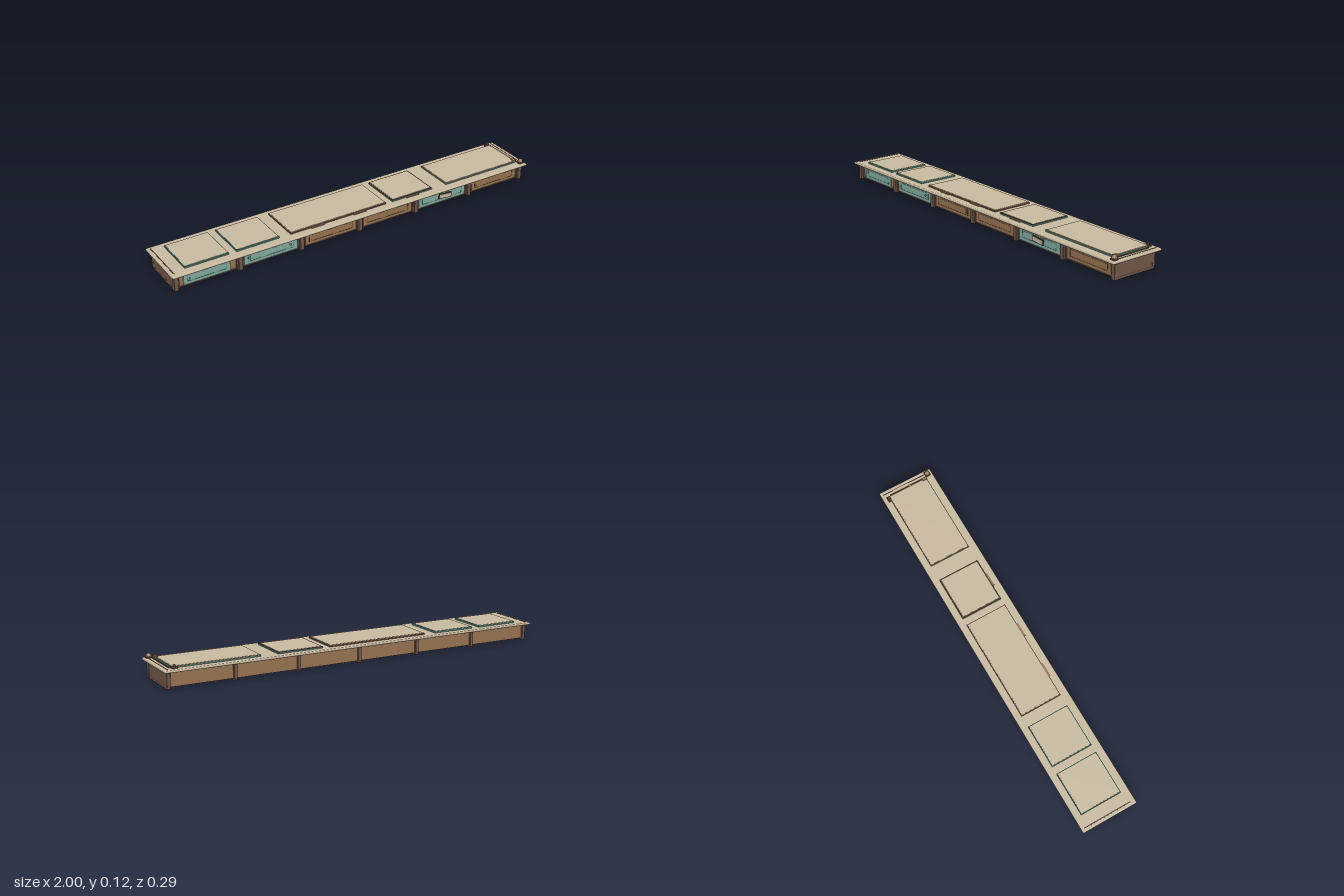
import * as THREE from 'three';
import { RoundedBoxGeometry } from 'three/addons/geometries/RoundedBoxGeometry.js';

const mat = (name, color, side = THREE.FrontSide) =>
  Object.assign(new THREE.MeshStandardMaterial({ color, side }), { name });

export function createModel() {
  const root = new THREE.Group();
  root.name = 'longCounter';
  const beige = mat('beige top', 0xc6b89f);
  const wood = mat('panel brown', 0x94714f);
  const dark = mat('rib brown', 0x70564a);
  const trim = mat('dark trim', 0x57402f);
  const teal = mat('pale teal', 0x7fa79b);
  const deepTeal = mat('deep teal', 0x4a7a70);
  const bronze = mat('bronze', 0x94765a);

  const add = (name, geo, material, x, y, z, parent = root) => {
    const m = new THREE.Mesh(geo, material);
    m.name = name;
    m.position.set(x, y, z);
    parent.add(m);
    return m;
  };
  // Box given by its limits on each axis
  const box = (name, material, x0, x1, y0, y1, z0, z1, r = 0, parent = root) => {
    const s = [x1 - x0, y1 - y0, z1 - z0];
    const geo = r ? new RoundedBoxGeometry(...s, 2, r) : new THREE.BoxGeometry(...s);
    return add(name, geo, material, (x0 + x1) / 2, (y0 + y1) / 2, (z0 + z1) / 2, parent);
  };
  // Flat rectangular ring facing the front
  const ring = (name, material, w, h, t, depth, x, y, z, parent) => {
    const s = new THREE.Shape([[-w, -h], [w, -h], [w, h], [-w, h]].map(([a, b]) => new THREE.Vector2(a / 2, b / 2)));
    const a = w / 2 - t, b = h / 2 - t;
    s.holes.push(new THREE.Path([[-a, -b], [-a, b], [a, b], [a, -b]].map(([p, q]) => new THREE.Vector2(p, q))));
    return add(name, new THREE.ExtrudeGeometry(s, { depth, bevelEnabled: false }), material, x, y, z, parent);
  };

  // Countertop with softly rounded edge
  box('countertop', beige, -1, 1, 0.083, 0.096, -0.145, 0.145, 0.005);

  // Seven upright ribs, each with a front post and a foot
  const pitch = 0.325;
  for (let i = 0; i < 7; i++) {
    const x = (i - 3) * pitch;
    const rib = new THREE.Group();
    rib.name = 'rib';
    root.add(rib);
    box('ribPlate', dark, x - 0.008, x + 0.008, 0.012, 0.084, -0.122, 0.11, 0, rib);
    box('ribFoot', dark, x - 0.009, x + 0.009, 0.002, 0.014, -0.119, 0.102, 0.003, rib);
    box('frontPost', dark, x - 0.011, x + 0.011, 0.003, 0.084, 0.1, 0.124, 0.003, rib);
    box('backPost', dark, x - 0.009, x + 0.009, 0.012, 0.084, -0.123, -0.105, 0.003, rib);
  }

  // Six bays with framed front panels
  const fronts = [teal, teal, wood, wood, teal, wood];
  fronts.forEach((front, i) => {
    const x = (i - 2.5) * pitch;
    const bay = new THREE.Group();
    bay.name = 'bay';
    root.add(bay);
    box('bayBox', wood, x - 0.156, x + 0.156, 0.011, 0.084, -0.113, 0.108, 0, bay);
    const shift = i === 0 ? -0.005 : 0;
    const w = i === 0 ? 0.235 : 0.28;
    box('frontPanel', front, x + shift - w / 2, x + shift + w / 2, 0.016, 0.08, 0.107, 0.113, 0, bay);
    ring('panelMoulding', front === teal ? deepTeal : trim, w - 0.04, 0.042, 0.0025, 0.002, x + shift, 0.05, 0.112, bay);
    box('panelField', front, x + shift - w / 2 + 0.03, x + shift + w / 2 - 0.03, 0.036, 0.064, 0.112, 0.115, 0, bay);
    for (const s of [-1, 1])
      box('sideStile', dark, x + s * 0.147 - 0.003, x + s * 0.147 + 0.003, 0.014, 0.082, 0.106, 0.115, 0, bay);
    box('bottomRail', dark, x - 0.15, x + 0.15, 0.011, 0.015, 0.106, 0.115, 0, bay);
  });
  add('panelKnob', new THREE.SphereGeometry(0.005, 12, 8), bronze, -0.385, 0.05, 0.117);

  // Tilted plaque hung on the fifth bay
  const plaque = new THREE.Group();
  plaque.name = 'plaque';
  plaque.position.set(0.495, 0.054, 0.13);
  plaque.rotation.z = -0.1;
  root.add(plaque);
  box('plaqueBack', trim, -0.038, 0.038, -0.014, 0.013, -0.003, 0.001, 0, plaque);
  box('plaqueFace', beige, -0.034, 0.034, -0.01, 0.009, 0.001, 0.003, 0, plaque);
  for (const s of [-1, 1])
    box('plaqueHook', bronze, s * 0.024 - 0.002, s * 0.024 + 0.002, 0, 0.014, -0.018, -0.002, 0, plaque);

  // Raised counter mats: [x0, x1, side colour, edge colour]
  const mats = [
    [-0.922, -0.7, deepTeal, deepTeal],
    [-0.66, -0.437, deepTeal, deepTeal],
    [-0.376, 0.156, trim, wood],
    [0.194, 0.43, deepTeal, trim],
    [0.516, 0.956, deepTeal, wood],
  ];
  for (const [x0, x1, side, edge] of mats) {
    const g = new THREE.Group();
    g.name = 'counterMat';
    root.add(g);
    const t = edge === trim ? 0.007 : 0.004;
    box('matBase', side, x0, x1, 0.095, 0.102, -0.11, 0.104, 0, g);
    box('matEdge', edge, x0, x1, 0.102, 0.1035, -0.11, 0.104, 0, g);
    box('matTop', beige, x0 + t, x1 - t, 0.1, 0.105, -0.11 + t, 0.104 - t, 0, g);
    for (const x of [x0 + 0.004, x1 - 0.004])
      add('matPin', new THREE.CylinderGeometry(0.004, 0.004, 0.004, 10), edge, x, 0.104, 0.1, g);
  }

  // Small tabs along the front of the middle mats
  for (const x of [-0.23, 0.005, 0.31])
    box('frontTab', bronze, x - 0.036, x + 0.036, 0.095, 0.101, 0.104, 0.112);

  // Strips near both ends of the countertop
  box('endStrip', trim, -0.984, -0.979, 0.095, 0.0975, -0.13, 0.12);
  box('endStrip', trim, 0.961, 0.966, 0.095, 0.0985, -0.1, 0.105);
  box('endStrip', trim, 0.979, 0.982, 0.095, 0.0975, -0.13, 0.105);

  // Bell, latch block and rear knob at the right end
  const bell = [[0, 0.018], [0.006, 0.017], [0.011, 0.012], [0.013, 0.005], [0.013, 0], [0, 0]]
    .reverse().map(([r, y]) => new THREE.Vector2(r, y));
  box('bellBase', trim, 0.962, 0.99, 0.095, 0.103, 0.106, 0.132, 0.002);
  add('bell', new THREE.LatheGeometry(bell, 20), bronze, 0.976, 0.101, 0.119);
  box('latchBlock', bronze, 0.945, 0.962, 0.1, 0.109, 0.08, 0.104, 0.002);
  box('knobBase', trim, 0.93, 0.958, 0.095, 0.105, -0.124, -0.1, 0.002);
  add('knobStem', new THREE.CylinderGeometry(0.004, 0.004, 0.008, 12), bronze, 0.945, 0.107, -0.116);
  add('knobCap', new THREE.CylinderGeometry(0.007, 0.007, 0.004, 16), dark, 0.945, 0.111, -0.116);
  return root;
}
